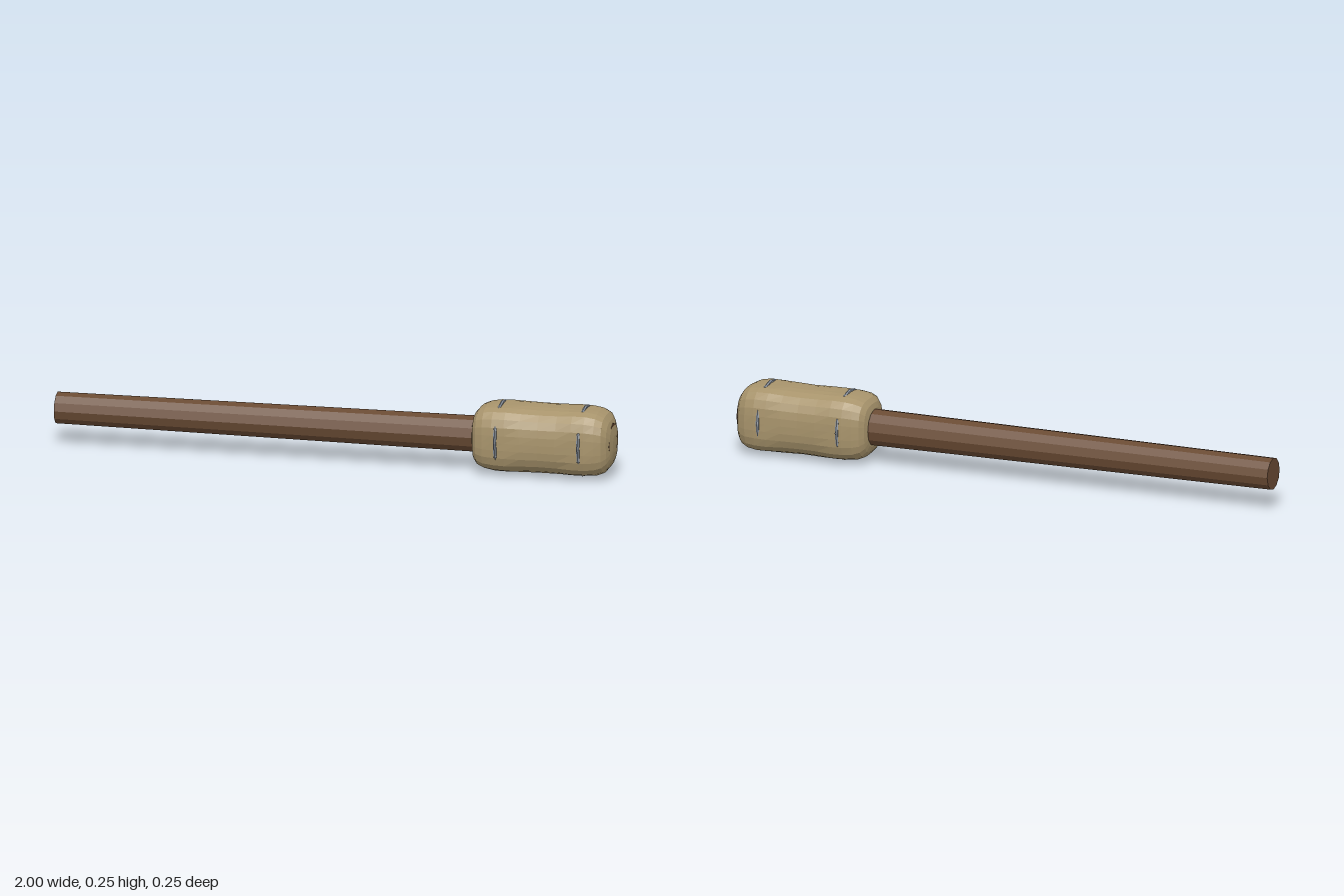
import * as THREE from 'three';

const AXIS_Y = 0.129;

// Padded block: soft-square cross-sections lofted along x
function paddedHead() {
  // x, half size, squareness, y shift, z shift
  const rings = [
    [0.503, 0.03, 2.4, 0, 0],
    [0.500, 0.066, 2.6, 0, 0],
    [0.506, 0.085, 3, 0, 0],
    [0.520, 0.101, 3.2, 0, -0.001],
    [0.545, 0.111, 3.4, 0, -0.002],
    [0.580, 0.1155, 3.5, 0, -0.002],
    [0.625, 0.117, 3.3, 0, -0.002],
    [0.680, 0.118, 2.9, 0, -0.002],
    [0.745, 0.1175, 2.7, 0, -0.002],
    [0.810, 0.118, 2.9, 0, -0.002],
    [0.865, 0.117, 3.4, 0, -0.002],
    [0.910, 0.1165, 3.5, 0, -0.002],
    [0.945, 0.112, 3.4, -0.001, -0.002],
    [0.970, 0.101, 3.3, -0.002, 0],
    [0.985, 0.082, 3.2, -0.003, 0.002],
    [0.994, 0.059, 3.2, -0.004, 0.003],
    [0.999, 0.03, 2.6, -0.003, 0.002],
    [1.000, 0.0005, 2, -0.003, 0.002],
  ];
  const n = 28;
  const pos = [], idx = [];
  rings.forEach(([x, half, p, dy, dz], i) => {
    for (let j = 0; j < n; j++) {
      const t = (j / n) * Math.PI * 2;
      const c = Math.cos(t), s = Math.sin(t);
      const r = half / Math.pow(Math.abs(c) ** p + Math.abs(s) ** p, 1 / p);
      // slight hand-made lumpiness
      const lump = 1 + 0.012 * Math.sin(3 * t + x * 31) * Math.sin(x * 19 + t);
      pos.push(x, AXIS_Y + dy + r * c * lump, dz + r * s * lump);
      if (i < rings.length - 1) {
        const k = (j + 1) % n;
        const a = i * n + j, b = i * n + k;
        idx.push(a, b, a + n, b, b + n, a + n);
      }
    }
  });
  const g = new THREE.BufferGeometry();
  g.setAttribute('position', new THREE.Float32BufferAttribute(pos, 3));
  g.setIndex(idx);
  g.computeVertexNormals();
  return g;
}

export function createModel() {
  const material = (name, color) => {
    const m = new THREE.MeshStandardMaterial({ color, flatShading: true });
    m.name = name;
    return m;
  };
  const wood = material('dark wood', 0x6a4b34);
  const cloth = material('tan padding', 0xa8946c);
  const steel = material('grey wire', 0x8d95a0);

  const group = new THREE.Group();
  group.name = 'paddedMallet';
  const add = (name, geometry, mat) => {
    const mesh = new THREE.Mesh(geometry, mat);
    mesh.name = name;
    group.add(mesh);
    return mesh;
  };

  // Twelve-sided shaft, tapering a little towards the grip end
  const shaft = new THREE.CylinderGeometry(0.068, 0.057, 1.993, 12);
  shaft.rotateZ(-Math.PI / 2);
  add('handle', shaft, wood).position.set(-0.0035, AXIS_Y, 0);

  add('head', paddedHead(), cloth);

  // Binding wires, sunk into the corners so only the flat sides show them
  for (const [name, x] of [['innerBinding', 0.595], ['outerBinding', 0.893]]) {
    const ring = new THREE.TorusGeometry(0.121, 0.006, 6, 16);
    ring.rotateY(Math.PI / 2);
    add(name, ring, steel).position.set(x, AXIS_Y, 0);
  }
  return group;
}
